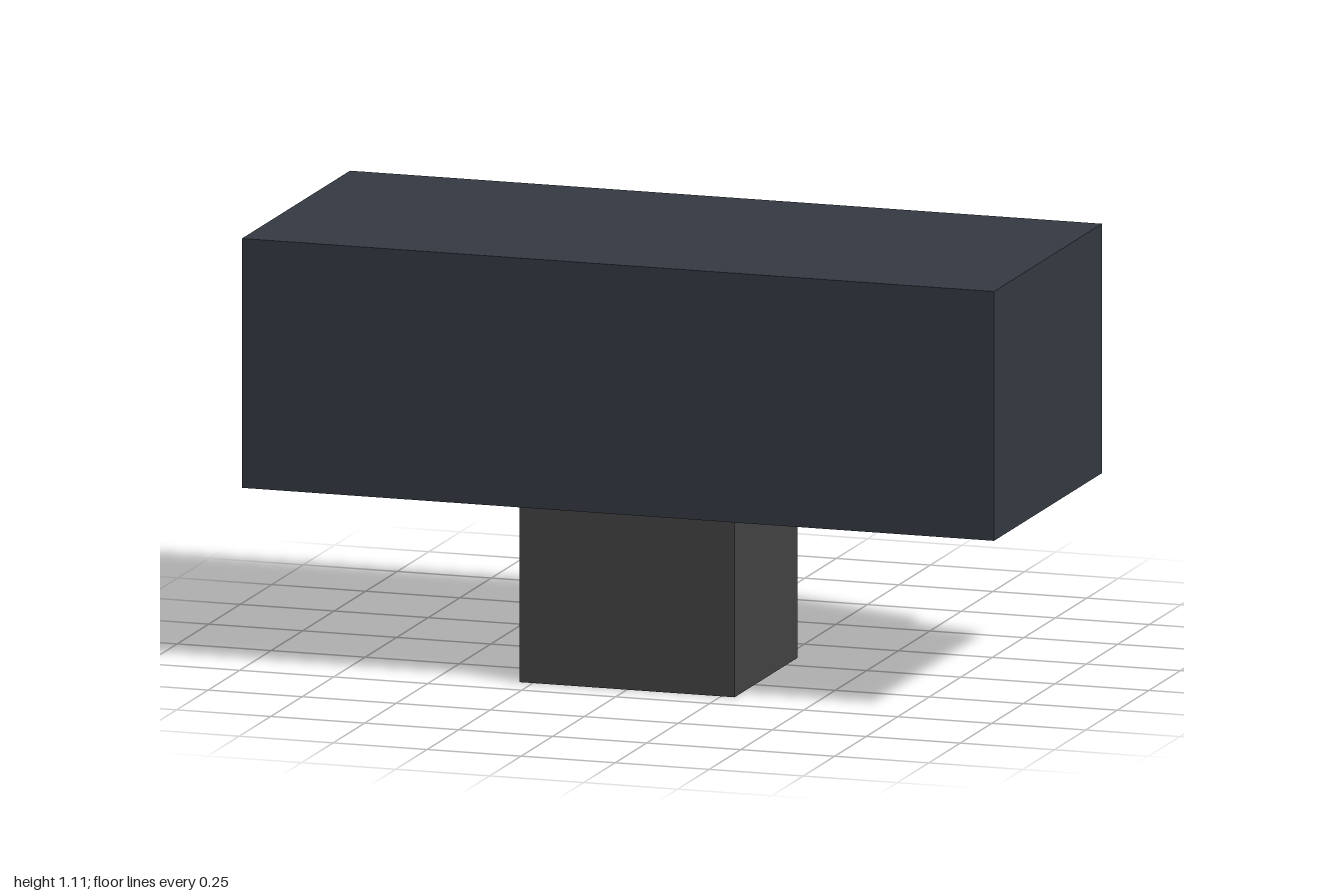
import * as THREE from 'three';

// Box given by its min and max corners
function block(name, color, min, max) {
  const size = max.map((v, i) => v - min[i]);
  const mesh = new THREE.Mesh(
    new THREE.BoxGeometry(...size),
    new THREE.MeshStandardMaterial({ color })
  );
  mesh.position.set(...max.map((v, i) => (v + min[i]) / 2));
  mesh.name = name;
  return mesh;
}

export function createModel() {
  const group = new THREE.Group();
  group.name = 'model';
  group.add(
    // Wide main housing
    block('housing', 0x343a42, [-1, 0.467, -0.375], [1, 1.11, 0.482]),
    // Light panel raised from the back face
    block('backPanel', 0xd4d8dc, [-0.857, 0.557, -0.482], [0.857, 1.022, -0.375]),
    // Square stem under the housing
    block('stem', 0x424242, [-0.286, 0, -0.09], [0.286, 0.467, 0.41])
  );
  return group;
}
